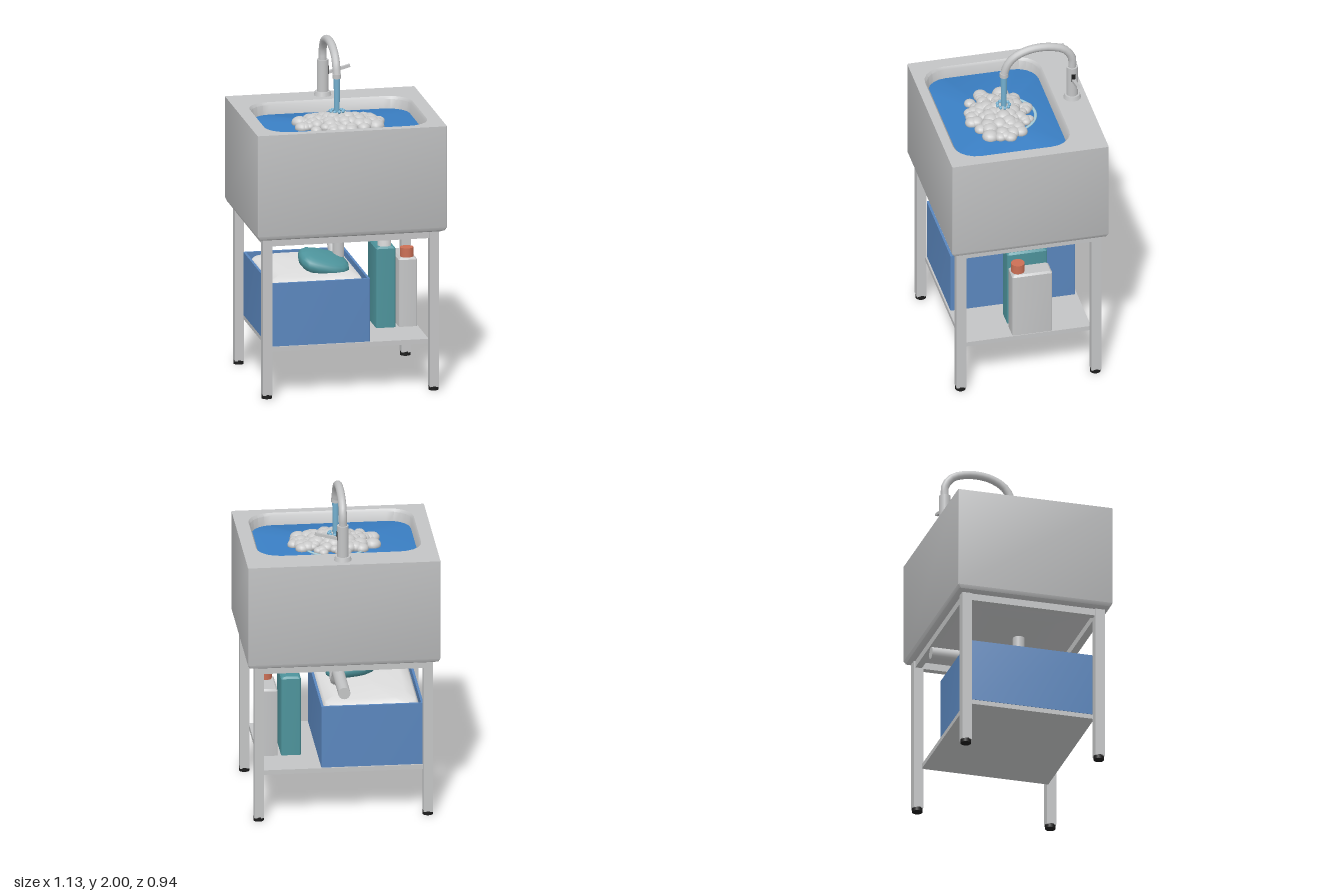
import * as THREE from 'three';
import { mergeVertices, toCreasedNormals } from 'three/addons/utils/BufferGeometryUtils.js';

const mat = (name, color) => {
  const m = new THREE.MeshStandardMaterial({ color });
  m.name = name;
  return m;
};
const V = (x, y, z) => new THREE.Vector3(x, y, z);

// Rounded rectangle cross-section lying flat at height y
function ring(y, halfX, halfZ, r, cx = 0, cz = 0, seg = 5) {
  const pts = [];
  [[1, 1], [-1, 1], [-1, -1], [1, -1]].forEach(([sx, sz], q) => {
    for (let i = 0; i <= seg; i++) {
      const a = (q + i / seg) * Math.PI / 2;
      pts.push(V(cx + sx * (halfX - r) + r * Math.cos(a), y, cz + sz * (halfZ - r) + r * Math.sin(a)));
    }
  });
  return pts;
}

// Skin a list of closed cross-sections
function loft(loops, smooth = false) {
  const n = loops[0].length, pos = [], idx = [];
  loops.forEach(l => l.forEach(p => pos.push(p.x, p.y, p.z)));
  for (let k = 0; k < loops.length - 1; k++) {
    for (let i = 0; i < n; i++) {
      const a = k * n + i, b = k * n + (i + 1) % n;
      idx.push(a, a + n, b, b, a + n, b + n);
    }
  }
  const g = new THREE.BufferGeometry();
  g.setAttribute('position', new THREE.Float32BufferAttribute(pos, 3));
  g.setIndex(idx);
  if (!smooth) return toCreasedNormals(g, 0.6);
  const m = mergeVertices(g);
  m.computeVertexNormals();
  return m;
}

export function createModel() {
  const steel = mat('steel', 0xc3c4c5), blue = mat('waterBlue', 0x3a7fc4), foamMat = mat('foam', 0xc9c9c9);
  const aqua = mat('streamBlue', 0x74b0d0), pale = mat('rippleBlue', 0xa5cbd8), black = mat('rubber', 0x1c1c1c);
  const binMat = mat('binBlue', 0x5a86bd), teal = mat('teal', 0x4d939b), orange = mat('orange', 0xcb6f55);
  const white = mat('white', 0xdedede);

  const root = new THREE.Group();
  const add = (name, geo, material, x = 0, y = 0, z = 0, parent = root) => {
    const m = new THREE.Mesh(geo, material);
    m.name = name;
    m.position.set(x, y, z);
    parent.add(m);
    return m;
  };
  const group = name => {
    const g = new THREE.Group();
    g.name = name;
    root.add(g);
    return g;
  };
  const box = (w, h, d) => new THREE.BoxGeometry(w, h, d);
  const cyl = (r1, r2, h, s = 16) => new THREE.CylinderGeometry(r1, r2, h, s);
  const tube = (pts, r, segs = 24) => new THREE.TubeGeometry(new THREE.CatmullRomCurve3(pts), segs, r, 12);

  // Basin: underside, outer walls, deck and inner bowl walls in one skin
  const bz = 0.065;
  add('basin', loft([
    ring(0.96, 0, 0, 0), ring(0.96, 0.535, 0.44, 0.008), ring(0.97, 0.555, 0.46, 0.008),
    ring(0.99, 0.565, 0.47, 0.008), ring(1.6, 0.565, 0.47, 0.008),
    ring(1.6, 0.485, 0.35, 0.14, 0, bz), ring(1.585, 0.475, 0.338, 0.135, 0, bz),
    ring(1.5, 0.465, 0.327, 0.13, 0, bz), ring(1.3, 0.44, 0.3, 0.12, 0, bz), ring(1.3, 0, 0, 0, 0, bz),
  ]), steel);

  // Water with softly rounded shading towards its edge
  add('water', loft([
    ring(1.47, 0.464, 0.326, 0.13, 0, bz), ring(1.53, 0.467, 0.33, 0.13, 0, bz), ring(1.535, 0, 0, 0, 0, bz),
  ], true), blue);
  const ripple = add('ripple', new THREE.TorusGeometry(0.19, 0.009, 8, 40), pale, 0, 1.536, 0.03);
  ripple.rotation.x = Math.PI / 2;
  ripple.scale.z = 0.5;

  // Foam: a seeded heap of flattened bubbles, highest in the middle
  let seed = 17;
  const rnd = () => (seed = (seed * 16807) % 2147483647) / 2147483647;
  const foam = group('foam');
  const bubble = new THREE.SphereGeometry(1, 14, 10);
  for (let i = 0; i < 85; i++) {
    const t = Math.sqrt((i + 0.5) / 85), a = i * 2.4 + rnd() * 0.5;
    const r = 0.027 + 0.023 * rnd();
    const b = add('bubble', bubble, foamMat, 0.25 * t * Math.cos(a), 1.54 + 0.04 * (1 - t), 0.055 + 0.18 * t * Math.sin(a), foam);
    b.scale.set(r, r * 0.75, r);
  }

  // Tap
  const tap = group('tap'), tz = -0.385;
  add('tapFlange', cyl(0.045, 0.052, 0.025, 20), steel, 0, 1.612, tz, tap);
  add('tapColumn', cyl(0.034, 0.034, 0.2, 20), steel, 0, 1.715, tz, tap);
  add('tapNeck', tube([[1.8, tz], [1.88, -0.383], [1.94, -0.34], [1.965, -0.28], [1.976, -0.2], [1.965, -0.11],
    [1.925, -0.03], [1.87, 0.01], [1.815, 0.024]].map(([y, z]) => V(0, y, z)), 0.024, 16), steel, 0, 0, 0, tap);
  add('spoutTip', cyl(0.026, 0.026, 0.025), steel, 0, 1.818, 0.024, tap);
  add('leverSocket', box(0.012, 0.05, 0.024), black, 0.03, 1.752, tz, tap);
  const lever = add('lever', box(0.14, 0.017, 0.02), steel, 0.095, 1.752, tz, tap);
  lever.rotation.z = 0.26;

  // Running water and its splash
  add('stream', cyl(0.02, 0.015, 0.27, 12), aqua, 0, 1.68, 0.025);
  const splash = group('splash');
  for (let i = 0; i < 9; i++) {
    const a = i * Math.PI * 2 / 9;
    add('drop', new THREE.SphereGeometry(0.01, 10, 8), aqua, 0.04 * Math.cos(a), 1.61, 0.028 + 0.036 * Math.sin(a), splash);
  }

  // Stand: legs, feet, rails and shelf
  const stand = group('stand');
  for (const sx of [-1, 1]) {
    for (const sz of [-1, 1]) {
      add('leg', box(0.055, 0.945, 0.058), steel, sx * 0.497, 0.4925, sz * 0.405, stand);
      add('foot', cyl(0.031, 0.031, 0.024), black, sx * 0.497, 0.012, sz * 0.405, stand);
    }
    add('sideRail', box(0.04, 0.043, 0.76), steel, sx * 0.497, 0.94, 0, stand);
    add('crossRail', box(0.95, 0.043, 0.04), steel, 0, 0.94, sx * 0.405, stand);
  }
  add('shelf', box(0.945, 0.028, 0.77), steel, 0, 0.286, 0, stand);

  // Drain with trap, leaving through the back
  const drain = group('drain');
  add('drainDrop', cyl(0.035, 0.035, 0.22), steel, 0, 0.855, 0.065, drain);
  add('drainTrap', tube([V(0, 0.76, 0.065), V(0, 0.715, 0.05), V(0, 0.7, 0.005), V(0, 0.73, -0.05),
    V(0, 0.78, -0.09), V(0, 0.795, -0.14)], 0.035), steel, 0, 0, 0, drain);
  const outlet = add('drainOutlet', cyl(0.036, 0.036, 0.345), steel, 0, 0.795, -0.2975, drain);
  outlet.rotation.x = Math.PI / 2;

  // Open bin with white laundry and a teal cloth
  const bx = -0.175;
  add('bin', loft([
    ring(0.3, 0, 0, 0, bx), ring(0.3, 0.3, 0.375, 0.006, bx), ring(0.68, 0.3, 0.375, 0.006, bx),
    ring(0.68, 0.286, 0.361, 0.006, bx), ring(0.32, 0.286, 0.361, 0.006, bx), ring(0.32, 0, 0, 0, bx),
  ]), binMat);
  add('laundry', loft([
    ring(0.5, 0.284, 0.359, 0.07, bx), ring(0.635, 0.284, 0.359, 0.07, bx), ring(0.67, 0.265, 0.335, 0.09, bx),
    ring(0.688, 0.21, 0.28, 0.1, bx), ring(0.693, 0, 0, 0, bx),
  ], true), white);
  const clothGeo = new THREE.SphereGeometry(1, 14, 10);
  const cp = clothGeo.attributes.position;
  for (let i = 0; i < cp.count; i++) {
    const soft = v => Math.sign(v) * Math.pow(Math.abs(v), 0.75);
    const x = soft(cp.getX(i)), y = soft(cp.getY(i)), z = soft(cp.getZ(i));
    cp.setXYZ(i, x * 0.15, y * (0.05 - 0.012 * x) - 0.026 * x - 0.022 * z, z * 0.125);
  }
  clothGeo.computeVertexNormals();
  add('cloth', clothGeo, teal, -0.1, 0.728, 0.12);

  // Cleaning bottles with off-centre caps
  const bottle = (name, x, w, top, body, cap) => {
    const g = group(name), h = w / 2;
    add('bottleBody', loft([
      ring(0.3, 0, 0, 0, x, -0.035), ring(0.3, h, 0.12, 0.01, x, -0.035), ring(top - 0.012, h, 0.12, 0.01, x, -0.035),
      ring(top, h - 0.01, 0.11, 0.01, x, -0.035), ring(top, 0, 0, 0, x, -0.035),
    ]), body, 0, 0, 0, g);
    add('bottleCap', cyl(0.04, 0.04, 0.055), cap, x, top + 0.0275, 0.04, g);
  };
  bottle('tallBottle', 0.28, 0.116, 0.788, teal, white);
  bottle('shortBottle', 0.413, 0.11, 0.715, steel, orange);

  return root;
}
